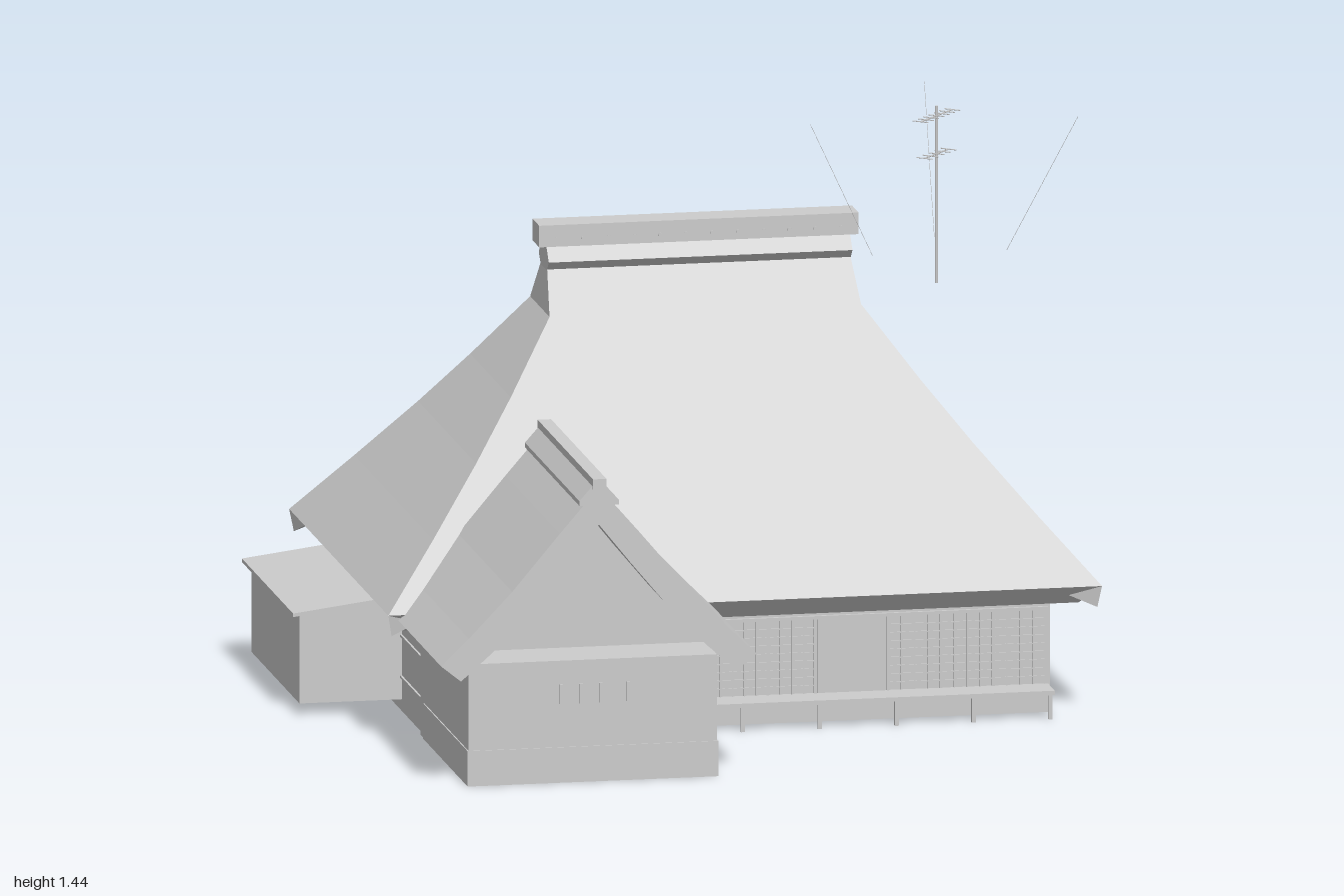
import * as THREE from 'three';
import { ConvexGeometry } from 'three/addons/geometries/ConvexGeometry.js';

const plain = new THREE.MeshStandardMaterial({ color: 0xcccccc, side: THREE.DoubleSide });
plain.name = 'plain grey';

function add(parent, name, geometry) {
  const mesh = new THREE.Mesh(geometry, plain);
  mesh.name = name;
  parent.add(mesh);
  return mesh;
}

// Box given by its two extremes on each axis
function box(parent, name, x0, x1, y0, y1, z0, z1) {
  const mesh = add(parent, name, new THREE.BoxGeometry(x1 - x0, y1 - y0, z1 - z0));
  mesh.position.set((x0 + x1) / 2, (y0 + y1) / 2, (z0 + z1) / 2);
  return mesh;
}

// Thin round bar between two points
function rod(parent, name, a, b, radius, sides = 5) {
  const p = new THREE.Vector3(...a), q = new THREE.Vector3(...b);
  const dir = q.clone().sub(p);
  const mesh = add(parent, name, new THREE.CylinderGeometry(radius, radius, dir.length(), sides));
  mesh.position.copy(p).add(q).multiplyScalar(0.5);
  mesh.quaternion.setFromUnitVectors(new THREE.Vector3(0, 1, 0), dir.normalize());
  return mesh;
}

function prism(points, depth) {
  const shape = new THREE.Shape(points.map(([x, y]) => new THREE.Vector2(x, y)));
  return new THREE.ExtrudeGeometry(shape, { depth, bevelEnabled: false });
}

// Stack of rectangular rings [halfX, halfZ, y], closed at the top
function hippedLoft(rings) {
  const pos = [];
  const corner = ([hx, hz, y], k) => [k < 2 ? hx : -hx, y, k % 3 === 0 ? hz : -hz];
  const tri = (...pts) => pts.forEach((p) => pos.push(...p));
  for (let i = 0; i < rings.length - 1; i++) {
    for (let k = 0; k < 4; k++) {
      const n = (k + 1) % 4;
      const a = corner(rings[i], k), b = corner(rings[i], n);
      const c = corner(rings[i + 1], n), d = corner(rings[i + 1], k);
      tri(a, b, c);
      tri(a, c, d);
    }
  }
  const geometry = new THREE.BufferGeometry();
  geometry.setAttribute('position', new THREE.Float32BufferAttribute(pos, 3));
  geometry.computeVertexNormals();
  return geometry;
}

function buildMainRoof(house) {
  const roof = new THREE.Group();
  roof.name = 'mainRoof';
  roof.position.set(0.065, 0, -0.285);
  house.add(roof);
  add(roof, 'thatch', hippedLoft([
    [0.75, 0.5, 0.29], [0.855, 0.59, 0.29], [0.905, 0.64, 0.34], [0.765, 0.508, 0.5],
    [0.63, 0.375, 0.66], [0.52, 0.262, 0.8], [0.395, 0.125, 0.97], [0.385, 0.045, 1.07], [0.385, 0.002, 1.13],
  ]));
  // Folded thatch at the four eave corners
  for (const sx of [-1, 1]) for (const sz of [-1, 1]) {
    const pts = [[0.905, 0.34, 0.64], [0.825, 0.315, 0.615], [0.88, 0.315, 0.56], [0.895, 0.285, 0.63]]
      .map(([x, y, z]) => new THREE.Vector3(x * sx, y, z * sz));
    add(roof, 'eaveCorner', new ConvexGeometry(pts));
  }
  // Ridge saddle and cap
  const saddle = prism([[-0.04, 1.07], [0.04, 1.07], [0.065, 1.095], [0.02, 1.145], [-0.02, 1.145], [-0.065, 1.095]], 0.77);
  saddle.translate(0, 0, -0.385).rotateY(Math.PI / 2);
  add(roof, 'ridgeSaddle', saddle);
  box(roof, 'ridgeCap', -0.405, 0.405, 1.13, 1.185, -0.043, 0.043);
  for (let i = 0; i < 12; i++) for (const s of [-1, 1]) {
    const x = -0.36 + i * 0.0655;
    rod(roof, 'ridgePeg', [x, 1.15, s * 0.042], [x, 1.15, s * 0.047], 0.005, 6);
  }
}

function buildWing(house) {
  const wing = new THREE.Group();
  wing.name = 'frontWing';
  wing.position.x = -0.413;
  house.add(wing);
  box(wing, 'wingWalls', -0.315, 0.315, 0, 0.31, 0.2, 0.82);
  box(wing, 'wingSkirting', -0.318, 0.318, 0, 0.09, 0.25, 0.823);
  for (const x of [-0.08, -0.03, 0.02, 0.09]) box(wing, 'windowBar', x - 0.004, x + 0.004, 0.2, 0.25, 0.82, 0.826);

  // Curved gable roof with an even thickness
  const outer = [[0.4, 0.325], [0.33, 0.393], [0.22, 0.508], [0.1, 0.65], [0, 0.765]];
  const inner = [[0, 0.67], [0.08, 0.57], [0.17, 0.462], [0.27, 0.355], [0.35, 0.285]];
  const mirror = (pts) => pts.map(([x, y]) => [-x, y]).reverse();
  const section = [...outer, ...mirror(outer).slice(1), ...mirror(inner), ...inner.slice(1)];
  add(wing, 'wingThatch', prism(section, 0.7)).position.z = 0.2;
  // Recessed gable panel
  add(wing, 'gablePanel', prism([[-0.33, 0.3], [0.33, 0.3], [0.17, 0.465], [0, 0.68], [-0.17, 0.465]], 0.01)).position.z = 0.66;
  const saddle = [[-0.05, 0.72], [0.05, 0.72], [0.05, 0.732], [0.016, 0.77], [-0.016, 0.77], [-0.05, 0.732]];
  add(wing, 'wingRidgeSaddle', prism(saddle, 0.702)).position.z = 0.199;
  box(wing, 'wingRidgeCap', -0.017, 0.017, 0.762, 0.788, 0.195, 0.91);
}

function buildWalls(house) {
  const walls = new THREE.Group();
  walls.name = 'mainWalls';
  house.add(walls);
  box(walls, 'body', -0.72, 0.855, 0, 0.3, -0.805, 0.24);
  // Rails and posts on the back and the two ends
  for (const y of [0.085, 0.19]) {
    box(walls, 'backRail', -0.72, 0.855, y, y + 0.006, -0.81, -0.805);
    box(walls, 'leftRail', 0.855, 0.86, y, y + 0.006, -0.805, 0.24);
    box(walls, 'rightRail', -0.725, -0.72, y, y + 0.006, -0.805, 0.24);
  }
  for (let i = 0; i < 6; i++) {
    const x = -0.72 + i * 0.313;
    box(walls, 'backPost', x, x + 0.01, 0, 0.3, -0.81, -0.805);
  }
  for (let i = 0; i < 5; i++) {
    const z = -0.805 + i * 0.259;
    box(walls, 'endPost', 0.855, 0.86, 0, 0.3, z, z + 0.009);
  }
  for (const x0 of [-0.48, 0.36]) for (let i = 0; i < 4; i++) {
    box(walls, 'backWindowBar', x0 + i * 0.025, x0 + i * 0.025 + 0.007, 0.19, 0.25, -0.814, -0.805);
  }
  // Lattice screens along the veranda
  box(walls, 'lintel', -0.1, 0.855, 0.262, 0.27, 0.24, 0.248);
  for (const [x0, x1] of [[-0.095, 0.265], [0.45, 0.85]]) {
    for (let i = 0; i <= 12; i++) {
      const x = x0 + (x1 - x0) * i / 12, w = i % 4 ? 0.0015 : 0.004;
      box(walls, 'screenUpright', x - w, x + w, 0.07, 0.262, 0.24, 0.245);
    }
    for (let j = 1; j < 9; j++) box(walls, 'screenBar', x0, x1, 0.07 + j * 0.021, 0.073 + j * 0.021, 0.24, 0.244);
  }
  box(walls, 'doorPanel', 0.27, 0.445, 0.07, 0.262, 0.24, 0.243);
  // Raised veranda on short posts
  box(walls, 'verandaDeck', -0.1, 0.855, 0.062, 0.073, 0.24, 0.33);
  for (const x of [-0.09, 0.065, 0.26, 0.455, 0.65, 0.845]) box(walls, 'verandaPost', x - 0.005, x + 0.005, 0, 0.062, 0.318, 0.328);
}

function buildAnnex(house) {
  const annex = new THREE.Group();
  annex.name = 'sideAnnex';
  house.add(annex);
  box(annex, 'annexWalls', -0.98, -0.72, 0.03, 0.26, -0.7, -0.08);
  const slab = prism([[-1, 0.255], [-0.72, 0.29], [-0.72, 0.3], [-1, 0.264]], 0.66);
  add(annex, 'annexRoof', slab).position.z = -0.72;
  add(annex, 'annexGable', prism([[-0.98, 0.255], [-0.72, 0.255], [-0.72, 0.292], [-0.98, 0.259]], 0.62)).position.z = -0.7;
}

function buildGasBottles(house) {
  const gas = new THREE.Group();
  gas.name = 'gasBottles';
  house.add(gas);
  box(gas, 'bottleBase', 0.855, 0.925, 0, 0.008, -0.735, -0.62);
  const profile = [[0, 0.008], [0.017, 0.008], [0.017, 0.125], [0.012, 0.138], [0.007, 0.14], [0.007, 0.152], [0, 0.152]];
  for (const z of [-0.65, -0.707]) {
    const bottle = add(gas, 'bottle', new THREE.LatheGeometry(profile.map((p) => new THREE.Vector2(...p)), 12));
    bottle.position.set(0.892, 0, z);
  }
  rod(gas, 'gasPipe', [0.872, 0.05, -0.678], [0.872, 0.165, -0.678], 0.004);
  box(gas, 'regulator', 0.864, 0.882, 0.12, 0.15, -0.685, -0.671);
}

function buildAntenna(house) {
  const antenna = new THREE.Group();
  antenna.name = 'antenna';
  house.add(antenna);
  rod(antenna, 'mast', [0.675, 0.99, -0.28], [0.675, 1.44, -0.28], 0.004, 6);
  // Booms with crossing elements
  for (const [y, half, count] of [[1.415, 0.082, 7], [1.318, 0.062, 5]]) {
    const dx = 0.64, dz = -0.77;
    const at = (s, t) => [0.675 + dx * s - dz * t, y, -0.28 + dz * s + dx * t];
    rod(antenna, 'boom', at(-half, 0), at(half, 0), 0.002);
    for (let i = 0; i < count; i++) {
      const s = half * (2 * i / (count - 1) - 1);
      rod(antenna, 'element', at(s, -0.022), at(s, 0.022), 0.0015);
    }
  }
  // Guy wires
  const wires = [
    [[0.33, 1.435, -0.155], [0.5, 1.08, -0.215]],
    [[1, 1.435, -0.11], [0.84, 1.08, -0.215]],
    [[0.705, 1.435, -0.59], [0.693, 1.08, -0.4]],
  ];
  for (const [a, b] of wires) rod(antenna, 'guyWire', a, b, 0.0006, 3);
}

export function createModel() {
  const house = new THREE.Group();
  house.name = 'thatchedFarmhouse';
  buildWalls(house);
  buildWing(house);
  buildAnnex(house);
  buildMainRoof(house);
  buildGasBottles(house);
  buildAntenna(house);
  return house;
}
